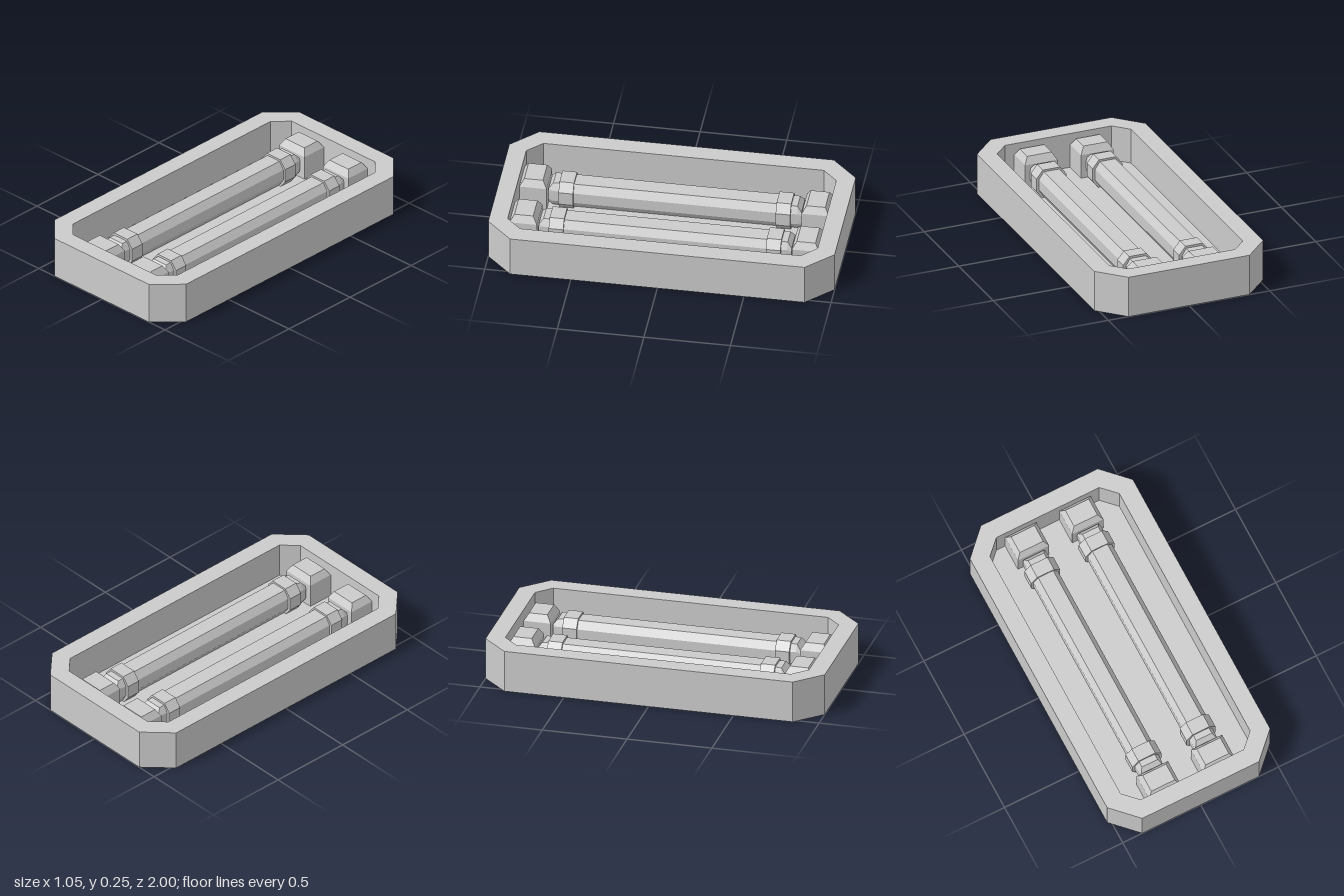
import * as THREE from 'three';

const material = new THREE.MeshStandardMaterial({ color: 0xcccccc, flatShading: true });
const FLOOR = 0.035;

function addMesh(parent, geometry, name) {
  const mesh = new THREE.Mesh(geometry, material);
  mesh.name = name;
  parent.add(mesh);
  return mesh;
}

// Rectangle outline with cut corners, counter-clockwise
function cutRect(w, h, cx, cy) {
  return [
    [w, -h + cy], [w, h - cy], [w - cx, h], [-w + cx, h],
    [-w, h - cy], [-w, -h + cy], [-w + cx, -h], [w - cx, -h],
  ].map(([x, y]) => new THREE.Vector2(x, y));
}

// Extrude an outline upward from the ground
function extrudeUp(shape, height) {
  const geometry = new THREE.ExtrudeGeometry(shape, { depth: height, bevelEnabled: false });
  return geometry.rotateX(-Math.PI / 2);
}

// Closed solid through eight-sided sections [z, halfWidth, halfHeight, cutX, cutY] in rising z
function loft(sections) {
  const rings = sections.map(([z, ...size]) =>
    cutRect(...size).map((p) => new THREE.Vector3(p.x, p.y, z)));
  const points = [];
  for (let s = 0; s < rings.length - 1; s++) {
    for (let i = 0; i < 8; i++) {
      const j = (i + 1) % 8;
      const [a, b, c, d] = [rings[s][i], rings[s][j], rings[s + 1][j], rings[s + 1][i]];
      points.push(a, b, c, a, c, d);
    }
  }
  const back = rings[0], front = rings[rings.length - 1];
  for (let i = 1; i < 7; i++) {
    points.push(front[0], front[i], front[i + 1], back[0], back[i + 1], back[i]);
  }
  const geometry = new THREE.BufferGeometry().setFromPoints(points);
  geometry.computeVertexNormals();
  return geometry;
}

// Block whose top edges are bevelled inward
function socketGeometry() {
  const top = 0.22, shoulder = 0.178, bevel = 0.025;
  const geometry = new THREE.BoxGeometry(0.2, top, 0.158, 1, 2, 1).translate(0, top / 2, 0);
  const pos = geometry.attributes.position;
  for (let i = 0; i < pos.count; i++) {
    const x = pos.getX(i), y = pos.getY(i), z = pos.getZ(i);
    if (y > top - 0.01) pos.setXYZ(i, x - Math.sign(x) * bevel, y, z - Math.sign(z) * bevel);
    else if (y > 0.01) pos.setY(i, shoulder);
  }
  const flat = geometry.toNonIndexed();
  flat.computeVertexNormals();
  return flat;
}

export function createModel() {
  const model = new THREE.Group();
  model.name = 'lightFixture';

  // Tray: cut-corner wall and recessed floor
  const inner = cutRect(0.415, 0.895, 0.085, 0.085);
  const wall = new THREE.Shape(cutRect(0.523, 1, 0.148, 0.15));
  wall.holes.push(new THREE.Path(inner));
  addMesh(model, extrudeUp(wall, 0.248), 'trayWall');
  addMesh(model, extrudeUp(new THREE.Shape(inner), FLOOR), 'trayFloor');

  // Tube with chamfered, slightly tapered ends
  const ends = [[0.63, 0.078, 0.078, 0.03, 0.045], [0.705, 0.073, 0.075, 0.022, 0.04], [0.73, 0.071, 0.045, 0.005, 0.02]];
  const tube = loft([...ends.map(([z, ...r]) => [-z, ...r]).reverse(), ...ends]);
  const collar = loft([[-0.042, 0.093, 0.09, 0.039, 0.05], [0.042, 0.093, 0.09, 0.039, 0.05]]);
  const socket = socketGeometry();

  for (const [side, x] of [['left', 0.174], ['right', -0.174]]) {
    const lamp = new THREE.Group();
    lamp.name = side + 'Lamp';
    lamp.position.x = x;
    addMesh(lamp, tube, 'tube').position.y = 0.118;
    for (const [end, dir] of [['front', 1], ['back', -1]]) {
      addMesh(lamp, collar, end + 'Collar').position.set(0, 0.118, dir * 0.627);
      addMesh(lamp, socket, end + 'Socket').position.set(0, 0.002, dir * 0.815);
    }
    model.add(lamp);
  }
  return model;
}
